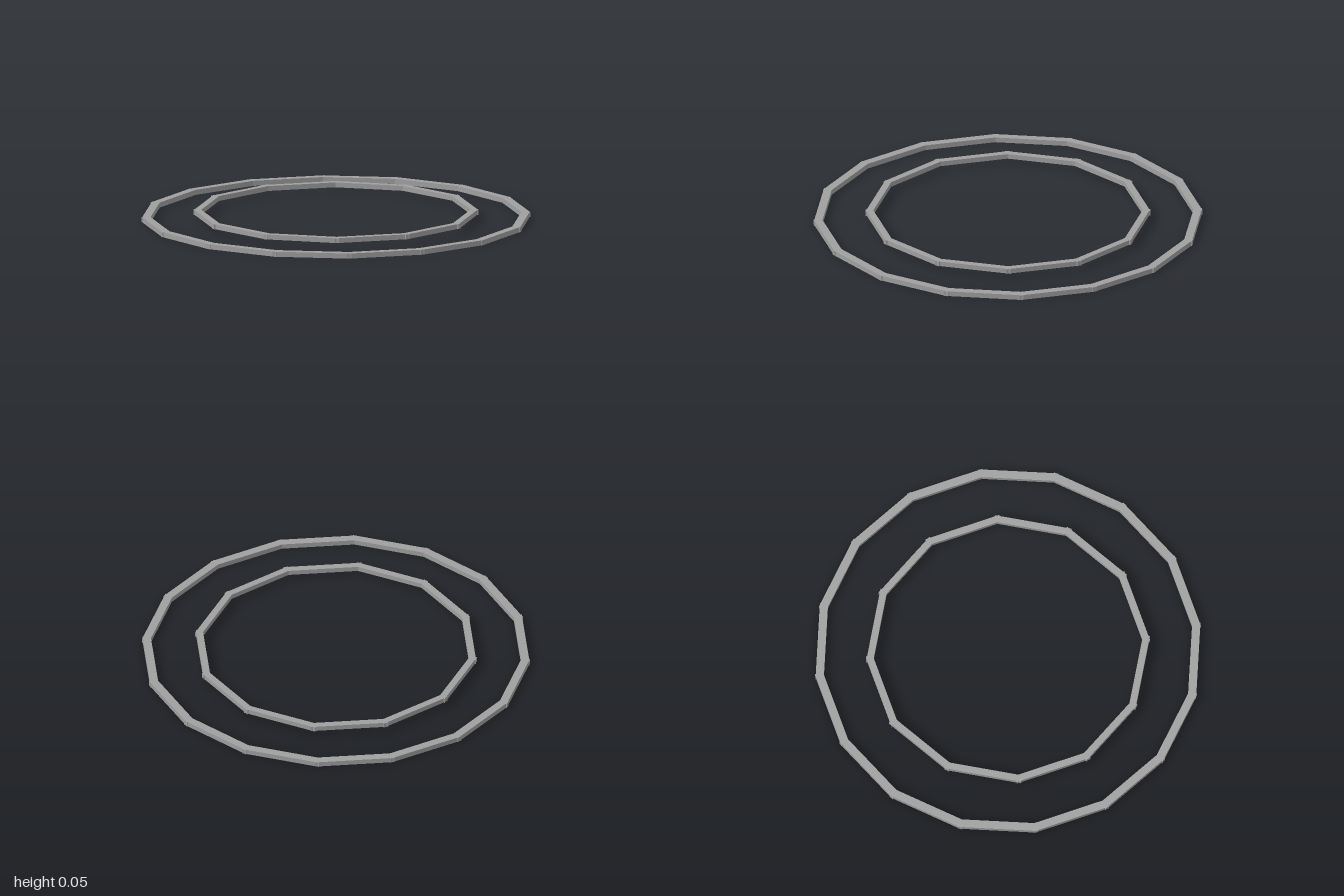
import * as THREE from 'three';

// Ring of straight bars whose square ends overlap slightly at each corner
function barRing(name, count, outer, width, length, bottom, height, material) {
  const ring = new THREE.Group();
  ring.name = name;
  const bar = new THREE.BoxGeometry(length, height, width);
  bar.translate(0, bottom + height / 2, outer - width / 2);
  for (let i = 0; i < count; i++) {
    const mesh = new THREE.Mesh(bar, material);
    mesh.name = name + 'Bar';
    mesh.rotation.y = (i / count) * Math.PI * 2;
    ring.add(mesh);
  }
  return ring;
}

export function createModel() {
  const model = new THREE.Group();
  model.name = 'concentricRings';
  const grey = new THREE.MeshStandardMaterial({ color: 0xa0a0a0 });
  grey.name = 'grey';

  // Wide lower ring with sixteen sides, narrow upper ring with twelve
  model.add(barRing('outerRing', 16, 0.996, 0.043, 0.418, 0, 0.027, grey));
  model.add(barRing('innerRing', 12, 0.716, 0.036, 0.408, 0.027, 0.026, grey));
  return model;
}
